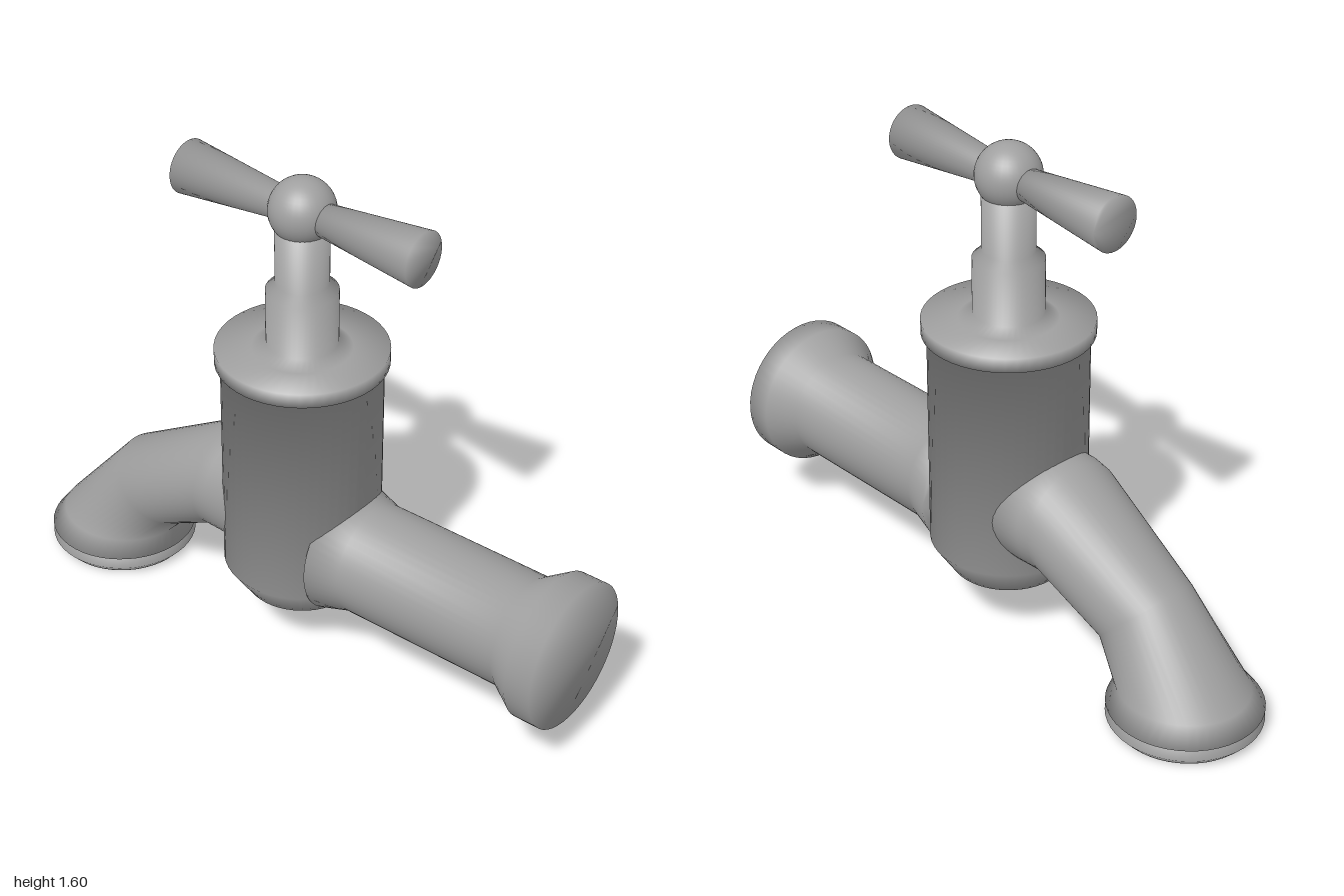
import * as THREE from 'three';

const material = new THREE.MeshStandardMaterial({ color: 0xa0a0a0 });
const SIDES = 48;

// Closed loft through oval sections, each [topZ, topY, bottomZ, bottomY, halfWidth].
// Every face row meeting at a ring counts equally, so all edges shade softly.
function loft(name, sections) {
  const rings = sections.map(([tz, ty, bz, by, w]) => Array.from({ length: SIDES }, (_, j) => {
    const a = (j / SIDES) * Math.PI * 2, s = Math.sin(a) / 2;
    return new THREE.Vector3(w * Math.cos(a), (ty + by) / 2 + s * (ty - by), (tz + bz) / 2 + s * (tz - bz));
  }));
  const end = rings.length - 1;
  const positions = [], normals = [], index = [];

  // Outward direction of an end cap
  const capNormal = (i, sign) => {
    const [tz, ty, bz, by] = sections[i];
    return new THREE.Vector3(0, bz - tz, ty - by).normalize().multiplyScalar(sign);
  };

  rings.forEach((ring, i) => ring.forEach((p, j) => {
    const k = (j + 1) % SIDES;
    const along = ring[k].clone().sub(ring[(j + SIDES - 1) % SIDES]);
    const normal = new THREE.Vector3();
    if (i > 0) normal.add(p.clone().sub(rings[i - 1][j]).cross(along).normalize());
    else normal.add(capNormal(i, 1));
    if (i < end) normal.add(rings[i + 1][j].clone().sub(p).cross(along).normalize());
    else normal.add(capNormal(i, -1));
    positions.push(p.x, p.y, p.z);
    normals.push(...normal.normalize().toArray());
    if (i < end) {
      const a = i * SIDES, b = a + SIDES;
      index.push(a + j, b + j, a + k, b + j, b + k, a + k);
    }
  }));

  // End caps
  const rim = end * SIDES;
  for (let j = 1; j < SIDES - 1; j++) index.push(0, j, j + 1, rim, rim + j + 1, rim + j);

  const geometry = new THREE.BufferGeometry();
  geometry.setAttribute('position', new THREE.Float32BufferAttribute(positions, 3));
  geometry.setAttribute('normal', new THREE.Float32BufferAttribute(normals, 3));
  geometry.setIndex(index);
  const mesh = new THREE.Mesh(geometry, material);
  mesh.name = name;
  return mesh;
}

// Round part from [radius, height] pairs, bottom to top
const turned = (name, profile) => loft(name, profile.map(([r, y]) => [r, y, -r, y, r]));

export function createModel() {
  const tap = new THREE.Group();
  tap.name = 'tap';

  // Upright body: tapered foot, barrel, flange and stepped valve stem
  tap.add(turned('body', [
    [0.18, 0.195], [0.243, 0.29], [0.243, 1.0], [0.26, 1.0], [0.26, 1.045], [0.15, 1.045],
    [0.108, 1.065], [0.108, 1.24], [0.08, 1.265], [0.08, 1.46],
  ]));

  // Handle: ball with two flared arms
  const handle = new THREE.Group();
  handle.name = 'handle';
  handle.position.y = 1.5;
  const knob = new THREE.Mesh(new THREE.SphereGeometry(0.1, 32, 24), material);
  knob.name = 'knob';
  handle.add(knob);
  for (const side of [1, -1]) {
    const arm = turned(side > 0 ? 'frontArm' : 'backArm', [[0.046, 0.05], [0.084, 0.425]]);
    arm.rotation.x = side * Math.PI / 2;
    arm.position.y = -0.005;
    handle.add(arm);
  }
  tap.add(handle);

  // Inlet pipe with wide end, running forward
  const inlet = turned('inletPipe', [[0.205, 0.17], [0.175, 0.27], [0.175, 0.83], [0.23, 0.915], [0.23, 1]]);
  inlet.rotation.x = Math.PI / 2;
  inlet.position.y = 0.393;
  tap.add(inlet);

  // Bent spout going down at the back, ending in a grooved ring
  tap.add(loft('spout', [
    [-0.1, 0.66, -0.1, 0.295, 0.2],
    [-0.23, 0.66, -0.25, 0.295, 0.192],
    [-0.28, 0.65, -0.285, 0.295, 0.188],
    [-0.70, 0.41, -0.48, 0.19, 0.155],
    [-0.955, 0.12, -0.543, 0.12, 0.195],
    [-0.997, 0.065, -0.525, 0.065, 0.235],
    [-0.971, 0.06, -0.551, 0.06, 0.21],
    [-0.971, 0.045, -0.551, 0.045, 0.21],
    [-0.997, 0.028, -0.525, 0.028, 0.235],
    [-0.971, 0, -0.551, 0, 0.21],
  ]));

  return tap;
}
